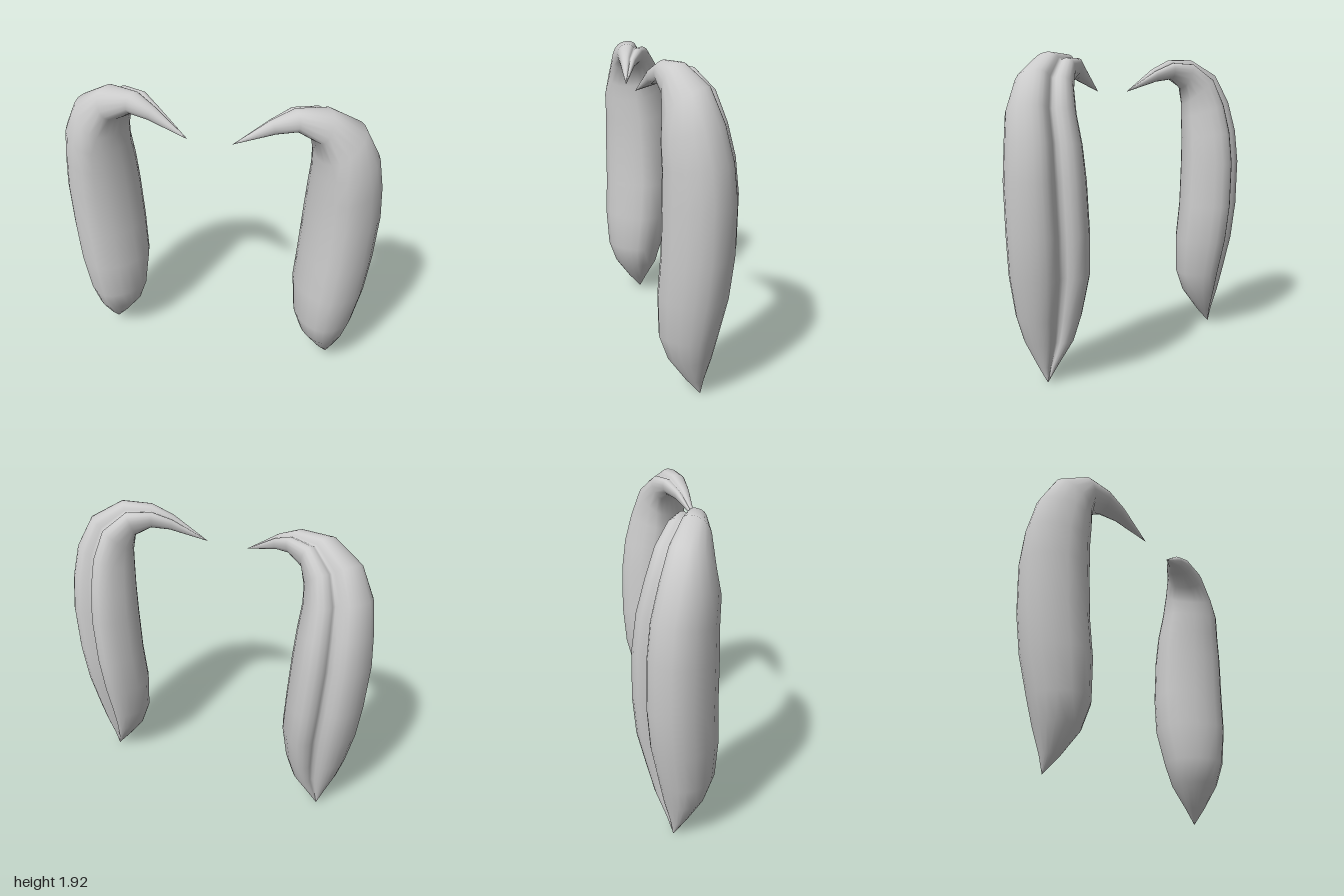
import * as THREE from 'three';

// Heart-like cross-section: two lobes with a groove between them, and a broad belly.
// First value runs across the lock, second points to its grooved side.
const SECTION = [
  [1.02, 0.2], [0.78, 0.88], [0.36, 1.13], [0, 1.13], [-0.22, 0.95], [-0.36, 0.65],
  [-0.62, 0.78], [-0.92, 0.62], [-1.02, 0.1], [-0.8, -0.72], [-0.3, -0.98], [0.3, -1], [0.88, -0.67],
];

// Rings from the lower tip to the curled tip:
// centre x, y, z, half width, half thickness, tilt and heading in degrees
const RINGS = [
  [0.78, 0, -0.015, 0, 0, 0, 45],
  [0.755, 0.1, 0.01, 0.06, 0.05, 0, 45],
  [0.725, 0.25, 0.03, 0.145, 0.12, 0, 45],
  [0.718, 0.4, 0.035, 0.19, 0.16, 0, 45],
  [0.728, 0.65, 0.01, 0.23, 0.187, 0, 45],
  [0.748, 0.9, -0.008, 0.235, 0.19, 0, 45],
  [0.762, 1.2, -0.008, 0.23, 0.19, 2, 45],
  [0.76, 1.4, 0.003, 0.215, 0.18, 8, 45],
  [0.75, 1.57, 0.03, 0.195, 0.165, 18, 44],
  [0.705, 1.71, 0.05, 0.165, 0.145, 40, 40],
  [0.605, 1.82, 0.08, 0.125, 0.095, 70, 32],
  [0.465, 1.848, 0.11, 0.085, 0.06, 93, 25],
  [0.35, 1.81, 0.15, 0.05, 0.04, 106, 21],
  [0.13, 1.7, 0.21, 0, 0, 112, 20],
];

function lockGeometry(side) {
  const outline = new THREE.CatmullRomCurve3(
    SECTION.map(([p, q]) => new THREE.Vector3(p, q, 0)), true).getPoints(26).slice(0, 26);
  const n = outline.length;
  const positions = [], index = [];
  RINGS.forEach(([x, y, z, a, b, tiltDeg, headingDeg], i) => {
    const t = THREE.MathUtils.degToRad(tiltDeg), g = THREE.MathUtils.degToRad(headingDeg);
    const across = new THREE.Vector3(Math.sin(g), 0, Math.cos(g));
    const out = new THREE.Vector3(Math.cos(t) * Math.cos(g), Math.sin(t), -Math.cos(t) * Math.sin(g));
    outline.forEach((s, j) => {
      const v = new THREE.Vector3(x, y, z)
        .addScaledVector(across, s.x * a).addScaledVector(out, s.y * b);
      positions.push(v.x * side, v.y, v.z);
      if (i === RINGS.length - 1) return;
      const k = (j + 1) % n;
      const A = i * n + j, B = i * n + k, C = A + n, D = B + n;
      // The mirrored lock needs the opposite corner order
      if (side > 0) index.push(A, B, D, A, D, C);
      else index.push(A, D, B, A, C, D);
    });
  });
  const geometry = new THREE.BufferGeometry();
  geometry.setAttribute('position', new THREE.Float32BufferAttribute(positions, 3));
  geometry.setIndex(index);
  geometry.computeVertexNormals();
  return geometry;
}

export function createModel() {
  const group = new THREE.Group();
  group.name = 'hairLocks';
  const material = new THREE.MeshStandardMaterial({ color: 0xcccccc });
  for (const [name, side] of [['leftLock', 1], ['rightLock', -1]]) {
    const lock = new THREE.Mesh(lockGeometry(side), material);
    lock.name = name;
    group.add(lock);
  }
  return group;
}
